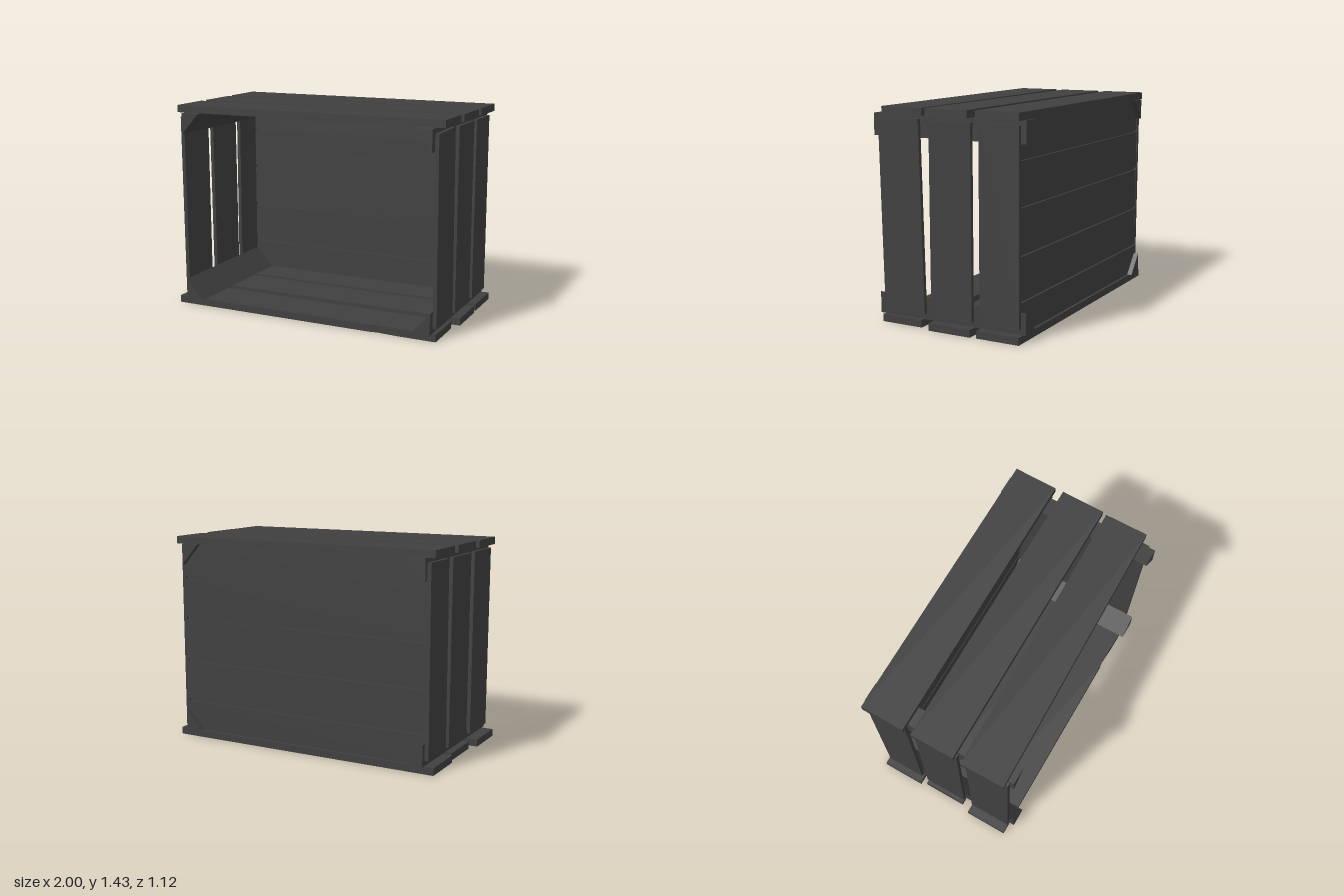
import * as THREE from 'three';

const wood = new THREE.MeshStandardMaterial({ color: 0x404040 });

// Extrudes an outline of [u, v] corners by a thickness
function slab(name, corners, depth) {
  const shape = new THREE.Shape(corners.map(([u, v]) => new THREE.Vector2(u, v)));
  const geometry = new THREE.ExtrudeGeometry(shape, { depth, bevelEnabled: false });
  const mesh = new THREE.Mesh(geometry, wood);
  mesh.name = name;
  return mesh;
}

// Board lying flat, outline in x and z, upper face at y = top
function flatBoard(name, corners, top) {
  const mesh = slab(name, corners, 0.05);
  mesh.geometry.rotateX(Math.PI / 2);
  mesh.position.y = top;
  return mesh;
}

// Upright board, outline in z and y, its larger x face at x = outer
function sideBoard(name, corners, outer) {
  const mesh = slab(name, corners, 0.027);
  mesh.geometry.rotateY(-Math.PI / 2);
  mesh.position.x = outer;
  return mesh;
}

const rect = (u0, u1, v0, v1) => [[u0, v0], [u1, v0], [u1, v1], [u0, v1]];

export function createModel() {
  const crate = new THREE.Group();
  crate.name = 'crate';

  // Top boards, the front one nailed on a little askew
  const topBoards = [
    rect(-0.975, 0.993, -0.542, -0.237),
    rect(-0.975, 0.995, -0.18, 0.127),
    [[-0.98, 0.185], [0.985, 0.157], [0.988, 0.46], [-0.977, 0.49]],
  ];
  for (const c of topBoards) crate.add(flatBoard('topBoard', c, 1.435));

  // Bottom boards, the front one with a chipped edge
  const bottomBoards = [
    rect(-0.985, 0.995, -0.54, -0.235),
    rect(-0.965, 1, -0.192, 0.117),
    [[-1, 0.185], [0.965, 0.195], [0.965, 0.5], [0.7, 0.498], [0.55, 0.488], [0.5, 0.496], [-1, 0.49]],
  ];
  for (const c of bottomBoards) crate.add(flatBoard('bottomBoard', c, 0.05));

  // Side boards, slightly tilted
  const rightBoards = [
    [[0.48, 0.08], [0.17, 0.09], [0.2, 1.36], [0.507, 1.352]],
    rect(-0.185, 0.12, 0.085, 1.355),
    rect(-0.525, -0.243, 0.085, 1.355),
  ];
  const leftBoards = [
    [[0.49, 0.085], [0.188, 0.085], [0.195, 1.355], [0.502, 1.355]],
    [[0.118, 0.085], [-0.195, 0.085], [-0.183, 1.355], [0.131, 1.355]],
    [[-0.525, 0.085], [-0.243, 0.085], [-0.25, 1.355], [-0.533, 1.355]],
  ];
  for (const c of rightBoards) crate.add(sideBoard('rightBoard', c, 0.963));
  for (const c of leftBoards) crate.add(sideBoard('leftBoard', c, -0.917));

  // Back boards with narrow grooves closed by a thin core
  const rows = [[0.052, 0.252], [0.27, 0.545], [0.562, 0.848], [0.866, 1.138], [1.155, 1.383]];
  for (const [y0, y1] of rows) {
    const board = slab('backBoard', rect(-0.917, 0.936, y0, y1), 0.045);
    board.position.z = -0.525;
    crate.add(board);
  }
  const core = slab('backCore', rect(-0.915, 0.934, 0.06, 1.375), 0.015);
  core.position.z = -0.51;
  crate.add(core);

  // Triangular corner braces running front to back: x, y, inward x, inward y, front end
  const braces = [
    [-0.916, 1.385, 1, -1, 0.53],
    [0.936, 1.385, -1, -1, 0.558],
    [-0.916, 0.05, 1, 1, 0.53],
    [0.936, 0.05, -1, 1, 0.535],
  ];
  for (const [x, y, sx, sy, front] of braces) {
    const corners = [[x, y], [x + sx * 0.13, y], [x, y + sy * 0.145]];
    const brace = slab('cornerBrace', corners, front + 0.56);
    brace.position.z = -0.56;
    crate.add(brace);
  }

  return crate;
}
